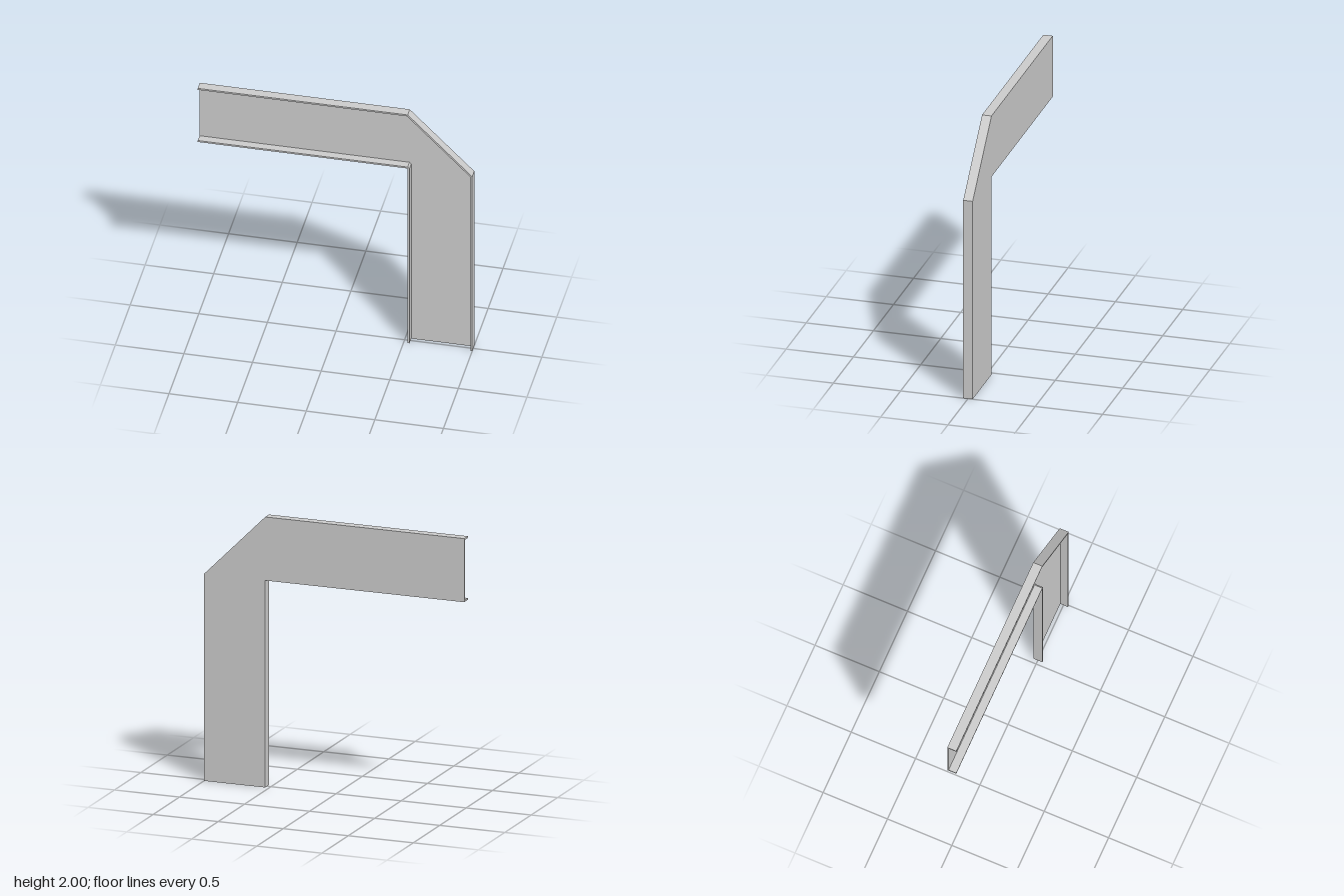
import * as THREE from 'three';

const HALF = 0.035; // half the channel depth
const WEB = 0.01;   // web thickness
const T = 0.013;    // flange thickness
const IN = 0.53;    // inner edge of the post, and where the corner cut starts
const LOW = 1.53;   // underside of the beam

export function createModel() {
  const group = new THREE.Group();
  group.name = 'channelFrame';
  const material = new THREE.MeshStandardMaterial({ color: 0xcccccc, flatShading: true });

  // Extrude an outline along z between two depths
  const addPlate = (name, points, z0, z1) => {
    const shape = new THREE.Shape(points.map(([x, y]) => new THREE.Vector2(x, y)));
    const geometry = new THREE.ExtrudeGeometry(shape, { depth: z1 - z0, bevelEnabled: false });
    geometry.translate(0, 0, z0);
    const mesh = new THREE.Mesh(geometry, material);
    mesh.name = name;
    group.add(mesh);
  };

  const outer = [[-1, 2], [IN, 2], [1, LOW], [1, 0]];
  const inner = [[-1, LOW], [IN, LOW], [IN, 0]];

  // Flat web across the back
  addPlate('web', [...outer, ...inner.slice().reverse()], -HALF, -HALF + WEB);

  // Outer flange follows the top, the cut corner and the outer side
  const miter = T * Math.tan(Math.PI / 8);
  addPlate('outerFlange', [
    ...outer,
    [1 - T, 0], [1 - T, LOW - miter], [IN - miter, 2 - T], [-1, 2 - T],
  ], -HALF + WEB, HALF);

  // Inner flange, with a small chamfer at its corner
  addPlate('innerFlange', [
    ...inner,
    [IN + T, 0], [IN + T, LOW], [IN, LOW + T], [-1, LOW + T],
  ], -HALF + WEB, HALF);

  return group;
}
